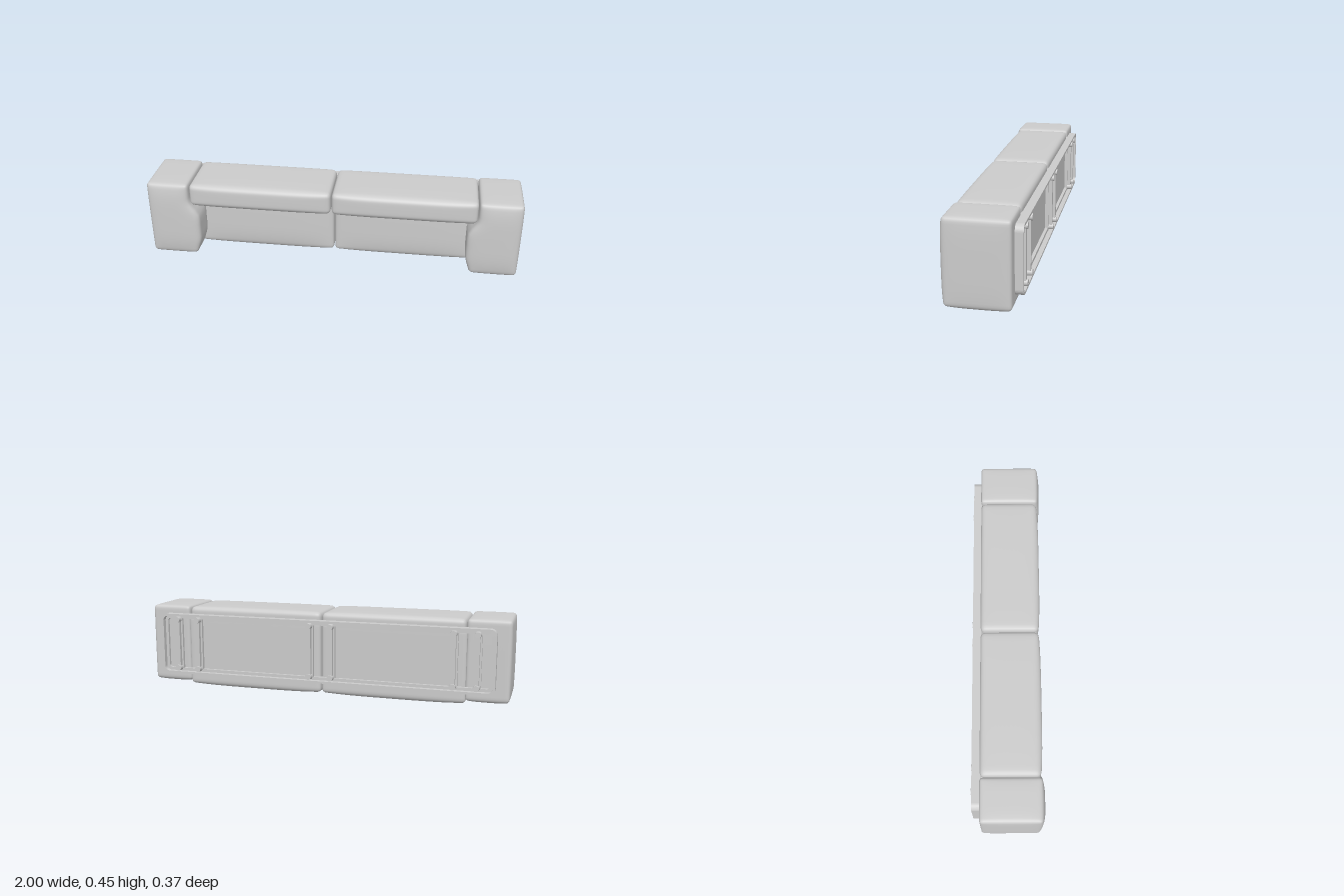
import * as THREE from 'three';
import { mergeVertices } from 'three/addons/utils/BufferGeometryUtils.js';

const material = new THREE.MeshStandardMaterial({ color: 0xcccccc });

// Upholstered block: a rounded box whose faces swell by a rule.
// min/max are [x, y, z]; puff(p, n) moves point p, where n runs -1..1 along each axis.
function cushion(name, min, max, r, puff) {
  const h = new THREE.Vector3(...max).sub(new THREE.Vector3(...min)).multiplyScalar(0.5);
  const c = new THREE.Vector3(...min).add(h);
  const inner = h.clone().subScalar(r);
  let geo = new THREE.BoxGeometry(2, 2, 2, 24, 24, 24);
  geo.deleteAttribute('normal');
  geo.deleteAttribute('uv');
  geo = mergeVertices(geo, 1e-5);
  const pos = geo.attributes.position;
  const p = new THREE.Vector3(), core = new THREE.Vector3(), n = new THREE.Vector3();
  // crowd the grid lines towards the edges
  const ease = (u) => Math.sign(u) * (1 - Math.pow(1 - Math.abs(u), 1.8));
  for (let i = 0; i < pos.count; i++) {
    p.fromBufferAttribute(pos, i);
    n.set(ease(p.x), ease(p.y), ease(p.z));
    p.copy(n).multiply(h);
    core.copy(p).clamp(inner.clone().negate(), inner);
    p.sub(core).setLength(r).add(core);
    n.copy(p).divide(h);
    p.add(c);
    puff(p, n);
    pos.setXYZ(i, p.x, p.y, p.z);
  }
  geo.computeVertexNormals();
  const mesh = new THREE.Mesh(geo, material);
  mesh.name = name;
  return mesh;
}

const dome = (a, b) => (1 - a ** 4) * (1 - b ** 4);
const smooth = THREE.MathUtils.smoothstep;

function roundedRect(target, w, h, r) {
  const x = w / 2 - r, y = h / 2 - r;
  target.absarc(x, y, r, 0, Math.PI / 2);
  target.absarc(-x, y, r, Math.PI / 2, Math.PI);
  target.absarc(-x, -y, r, Math.PI, Math.PI * 1.5);
  target.absarc(x, -y, r, Math.PI * 1.5, Math.PI * 2);
  target.closePath();
  return target;
}

function ring(name, w, h, r, wall, depth) {
  const shape = roundedRect(new THREE.Shape(), w, h, r);
  shape.holes.push(roundedRect(new THREE.Path(), w - 2 * wall, h - 2 * wall, r - wall * 0.7));
  const geo = new THREE.ExtrudeGeometry(shape, { depth, bevelEnabled: false, curveSegments: 8 });
  const mesh = new THREE.Mesh(geo, material);
  mesh.name = name;
  return mesh;
}

function box(name, w, h, d, x, y, z) {
  const mesh = new THREE.Mesh(new THREE.BoxGeometry(w, h, d), material);
  mesh.name = name;
  mesh.position.set(x, y, z);
  return mesh;
}

export function createModel() {
  const group = new THREE.Group();
  const midY = 0.243;

  for (const s of [1, -1]) {
    const side = s > 0 ? 'left' : 'right';
    const span = (a, b) => (s > 0 ? [a, b] : [-b, -a]);

    // seat, swelling forward and a little downward
    const [sx0, sx1] = span(0.003, 0.775);
    group.add(cushion(side + 'Seat', [sx0, 0.014, -0.142], [sx1, 0.4, 0.008], 0.02, (p, n) => {
      p.z += 0.014 * Math.max(0, n.z) * dome(n.x, n.y);
      p.y += 0.012 * Math.min(0, n.y) * dome(n.x, n.z);
    }));

    // backrest, overhanging the seat
    const [bx0, bx1] = span(0.003, 0.766);
    group.add(cushion(side + 'Backrest', [bx0, 0.326, -0.142], [bx1, 0.45, 0.165], 0.026, (p, n) => {
      p.z += 0.009 * Math.max(0, n.z) * dome(n.x, n.y);
      p.y += 0.005 * Math.max(0, n.y) * dome(n.x, n.z);
      p.y += 0.015 * Math.min(0, n.y) * dome(n.x, n.z);
    }));

    // armrest, its inner face bulging over the seat below the backrest
    const [ax0, ax1] = span(0.77, 0.994);
    group.add(cushion(side + 'Armrest', [ax0, 0.03, -0.143], [ax1, 0.451, 0.17], 0.018, (p, n) => {
      const y = p.y, z = p.z;
      const inward = Math.max(0, -s * n.x);
      const bulge = smooth(y, 0.02, 0.13) * (1 - smooth(y, 0.25, 0.36)) + 0.5 * (1 - smooth(y, 0.02, 0.13));
      p.x -= s * 0.05 * inward * bulge * smooth(z, -0.08, 0.04);
      p.x += 0.006 * s * Math.max(0, s * n.x) * dome(n.y, n.z);
      p.z += 0.016 * Math.max(0, n.z) * dome(n.x, n.y);
      p.y += 0.005 * Math.max(0, n.y) * dome(n.x, n.z);
      p.y += 0.015 * Math.min(0, n.y) * dome(n.x, n.z);
    }));

    // cross bars with a raised rib and a round pad at each end
    for (const x of [0.06, 0.71, 0.83]) {
      group.add(box(side + 'CrossBar', 0.042, 0.315, 0.018, s * x, midY, -0.15));
      group.add(box(side + 'CrossBarRib', 0.024, 0.29, 0.022, s * x, midY, -0.167));
      for (const y of [midY - 0.137, midY + 0.137]) {
        const pad = new THREE.Mesh(new THREE.CylinderGeometry(0.016, 0.018, 0.03, 20), material);
        pad.name = side + 'FootPad';
        pad.rotation.x = -Math.PI / 2;
        pad.position.set(s * x, y, -0.171);
        group.add(pad);
      }
    }
  }

  // base frame: deep outer rim and a shallow inner ledge
  const rim = ring('baseFrame', 1.85, 0.337, 0.035, 0.012, 0.045);
  rim.position.set(0, midY, -0.183);
  const ledge = ring('baseLedge', 1.826, 0.313, 0.027, 0.016, 0.02);
  ledge.position.set(0, midY, -0.158);
  group.add(rim, ledge);

  return group;
}
